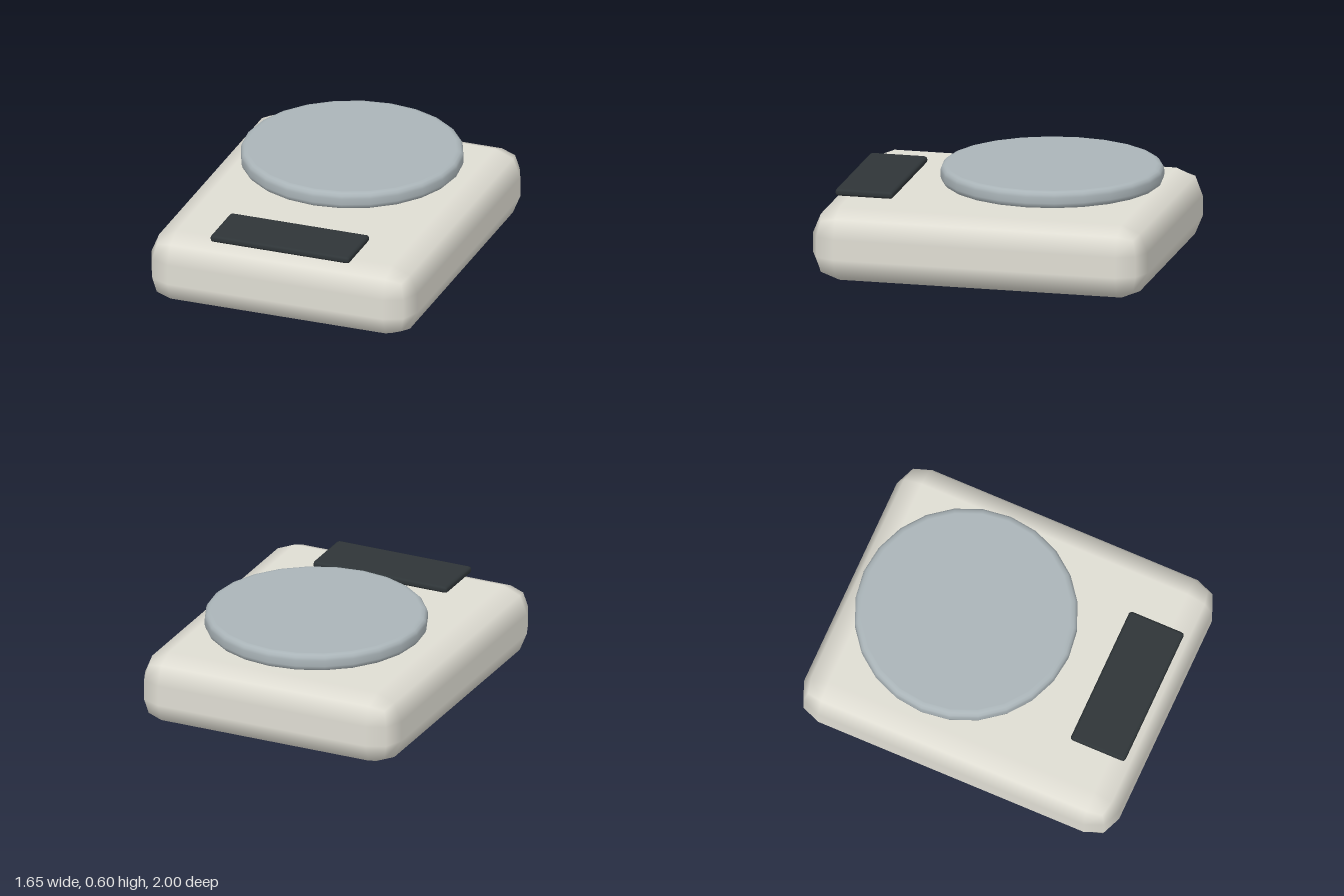
import * as THREE from 'three';
import { RoundedBoxGeometry } from 'three/addons/geometries/RoundedBoxGeometry.js';

function addPart(group, name, geometry, color, x, y, z) {
  const mesh = new THREE.Mesh(geometry, new THREE.MeshStandardMaterial({ color }));
  mesh.name = name;
  mesh.position.set(x, y, z);
  group.add(mesh);
}

// Solid disc with a rounded rim, standing on y = 0
function roundedDisc(radius, height, rim, sides) {
  const points = [new THREE.Vector2(0, 0), new THREE.Vector2(radius - rim * 1.2, 0)];
  for (const [centreY, start] of [[rim, -Math.PI / 2], [height - rim, 0]]) {
    for (let i = 0; i <= 3; i++) {
      const a = start + (i / 3) * Math.PI / 2;
      points.push(new THREE.Vector2(radius - rim + Math.cos(a) * rim, centreY + Math.sin(a) * rim));
    }
  }
  points.push(new THREE.Vector2(radius - rim * 1.2, height), new THREE.Vector2(0, height));
  return new THREE.LatheGeometry(points, sides);
}

export function createModel() {
  const scale = new THREE.Group();
  scale.name = 'kitchenScale';

  // Housing with broad, coarsely rounded edges
  addPart(scale, 'body', new RoundedBoxGeometry(1.65, 0.436, 2, 1, 0.157), 0xdfddd3, 0, 0.218, 0);

  // Weighing plate, hovering just above the housing
  addPart(scale, 'weighingPlate', roundedDisc(0.65, 0.103, 0.034, 24), 0xaab4b8, 0, 0.492, -0.265);

  // Dark display panel at the front
  addPart(scale, 'displayPanel', new RoundedBoxGeometry(0.865, 0.042, 0.346, 1, 0.018), 0x2f3538, 0, 0.457, 0.757);

  return scale;
}
